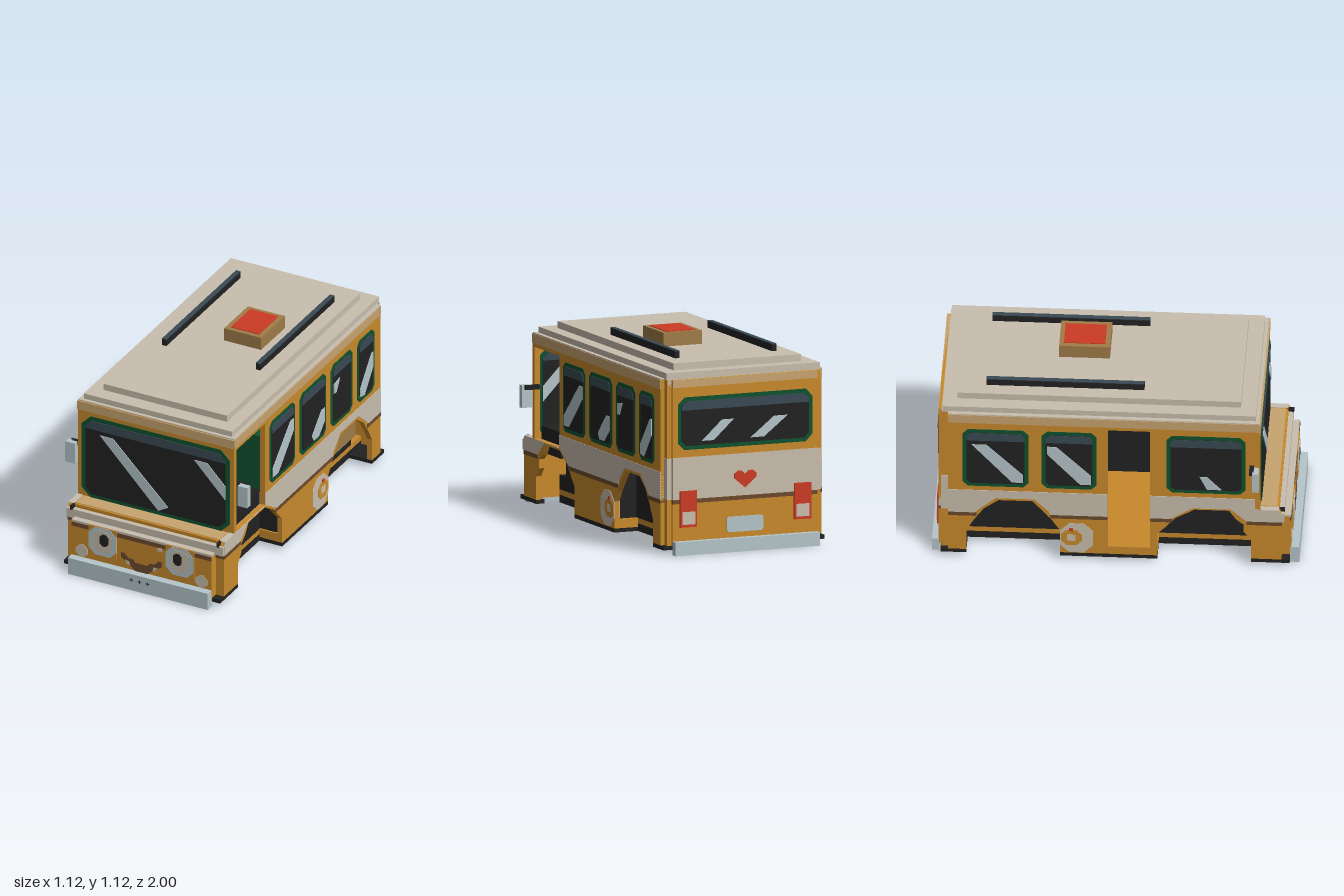
import * as THREE from 'three';

const paint = (name, color) => Object.assign(new THREE.MeshStandardMaterial({ color }), { name });
const M = {
  orange: paint('orange', 0xc98a2b), beige: paint('beige', 0xc9bfae), tan: paint('tan', 0xc9a570),
  brown: paint('brown', 0x6e4a2c), crate: paint('crate brown', 0xa07c48), green: paint('green', 0x10522f),
  black: paint('black', 0x222222), slate: paint('slate', 0x3a4a55), chrome: paint('pale blue', 0xb5c6cb),
  red: paint('red', 0xcc3b24),
};

// Box given by its limits on each axis
function box(parent, name, mat, [x0, x1], [y0, y1], [z0, z1]) {
  const m = new THREE.Mesh(new THREE.BoxGeometry(x1 - x0, y1 - y0, z1 - z0), mat);
  m.position.set((x0 + x1) / 2, (y0 + y1) / 2, (z0 + z1) / 2);
  m.name = name;
  parent.add(m);
  return m;
}

// Flat slab of half thickness h, centred on the group's own plane
function slab(parent, name, mat, pts, h, holes = []) {
  const toV = (p) => p.map(([u, v]) => new THREE.Vector2(u, v));
  const shape = new THREE.Shape(toV(pts));
  shape.holes = holes.map((p) => new THREE.Path(toV(p)));
  const geo = new THREE.ExtrudeGeometry(shape, { depth: 2 * h, bevelEnabled: false });
  geo.translate(0, 0, -h);
  const m = new THREE.Mesh(geo, mat);
  m.name = name;
  parent.add(m);
}
const rect = (u0, u1, v0, v1) => [[u0, v0], [u1, v0], [u1, v1], [u0, v1]];
const oct = (u0, u1, v0, v1, c) => [[u0 + c, v0], [u1 - c, v0], [u1, v0 + c], [u1, v1 - c],
  [u1 - c, v1], [u0 + c, v1], [u0, v1 - c], [u0, v0 + c]];

// Framed window that shows on both faces of a wall of half thickness h
function windowIn(parent, u0, u1, v0, v1, h, glares, c = 0.03, f = 0.022) {
  slab(parent, 'windowFrame', M.green, oct(u0, u1, v0, v1, c), h + 0.003);
  slab(parent, 'windowPane', M.black, oct(u0 + f, u1 - f, v0 + f, v1 - f, c * 0.7), h + 0.006);
  slab(parent, 'windowTint', M.slate, [[u0 + f, v1 - f - 0.05], [u1 - f, v1 - f - 0.05], [u1 - f, v1 - f - c * 0.7],
    [u1 - f - c * 0.7, v1 - f], [u0 + f + c * 0.7, v1 - f], [u0 + f, v1 - f - c * 0.7]], h + 0.008);
  glares.forEach((g) => slab(parent, 'windowGlare', M.chrome, g, h + 0.01));
}

const ARCHES = [[-0.81, 0.05], [-0.81, 0.18], [-0.77, 0.25], [-0.715, 0.33], [-0.635, 0.39], [-0.45, 0.39], [-0.38, 0.31],
  [-0.34, 0.26], [-0.3, 0.2], [-0.3, 0.05], [0.23, 0.05], [0.23, 0.2], [0.27, 0.24], [0.33, 0.31], [0.4, 0.35],
  [0.43, 0.37], [0.62, 0.37], [0.66, 0.31], [0.7, 0.28], [0.7, 0.23], [0.74, 0.18], [0.74, 0.05]];

// One side wall: group plane runs along z, s is +1 for left, -1 for right
function sideWall(bus, s) {
  const g = new THREE.Group(), h = 0.015, left = s > 0;
  g.name = left ? 'leftWall' : 'rightWall';
  g.rotation.y = -Math.PI / 2;
  g.position.x = s * 0.465;
  bus.add(g);
  const door = left ? rect(0.43, 0.76, 0.385, 0.89) : rect(-0.04, 0.19, 0.1, 0.89);
  slab(g, 'wall', M.orange, [[-0.91, 0.05], ...ARCHES, [0.905, 0.05], [0.905, 0.36], [0.893, 0.38], [0.79, 0.38],
    [0.79, 0.962], [-0.91, 0.962]], h, [door]);
  slab(g, 'upperTrim', M.tan, rect(-0.91, 0.79, 0.91, 0.962), h + 0.003);
  // Waist band with an orange rim left around the arches
  const [zr, zf] = left ? [0.1, 0.1] : [-0.04, 0.19];
  const front = left ? [[0.43, 0.384], [0.43, 0.455]] : [[0.76, 0.384], [0.76, 0.455]];
  slab(g, 'waistBand', M.beige, [[-0.91, 0.303], [-0.765, 0.303], [-0.72, 0.345], [-0.65, 0.405], [-0.44, 0.405],
    [-0.36, 0.325], [-0.355, 0.303], [zr, 0.303], [zr, 0.455], [-0.91, 0.455]], h + 0.003);
  slab(g, 'waistBand', M.beige, [[zf, 0.303], [0.3, 0.303], [0.35, 0.335], [0.42, 0.38], [0.63, 0.38], [0.68, 0.335],
    [0.715, 0.303], [0.905, 0.303], [0.905, 0.36], [0.89, 0.384], ...front, [zf, 0.455]], h + 0.003);
  for (const [a, b] of [[-0.91, -0.755], [-0.355, zr], [zf, 0.31], [0.715, 0.905]])
    slab(g, 'stripe', M.brown, rect(a, b, 0.28, 0.303), h + 0.003);
  // Windows
  if (left) {
    windowIn(g, 0.085, 0.38, 0.485, 0.868, h, [[[0.355, 0.52], [0.355, 0.575], [0.15, 0.77], [0.11, 0.77], [0.11, 0.7], [0.29, 0.52]]]);
    windowIn(g, -0.275, 0.03, 0.485, 0.868, h, [[[-0.12, 0.515], [-0.1, 0.55], [-0.21, 0.66], [-0.25, 0.66], [-0.25, 0.58], [-0.18, 0.515]]]);
    windowIn(g, -0.58, -0.33, 0.485, 0.868, h, [[[-0.355, 0.69], [-0.385, 0.69], [-0.425, 0.76], [-0.355, 0.75]]]);
    windowIn(g, -0.835, -0.635, 0.485, 0.868, h, [[[-0.66, 0.52], [-0.66, 0.57], [-0.79, 0.73], [-0.81, 0.73], [-0.81, 0.64], [-0.71, 0.51]]]);
  } else {
    windowIn(g, 0.28, 0.71, 0.485, 0.868, h, [[[0.5, 0.515], [0.58, 0.515], [0.5, 0.6], [0.46, 0.6]]]);
    windowIn(g, -0.4, -0.1, 0.485, 0.868, h, [[[-0.13, 0.52], [-0.13, 0.58], [-0.32, 0.77], [-0.37, 0.77], [-0.37, 0.72], [-0.19, 0.52]]]);
    windowIn(g, -0.83, -0.47, 0.485, 0.868, h, [[[-0.5, 0.52], [-0.5, 0.57], [-0.7, 0.77], [-0.78, 0.77], [-0.56, 0.52]]]);
  }
  // Flower badge beside the rear arch
  slab(g, 'flowerBadge', M.beige, oct(-0.3, -0.12, 0.055, 0.25, 0.05), h + 0.003);
  slab(g, 'flower', M.orange, oct(-0.295, -0.18, 0.105, 0.205, 0.03), h + 0.005);
  slab(g, 'flowerCentre', M.beige, rect(-0.26, -0.215, 0.135, 0.175), h + 0.007);
  slab(g, 'flowerBud', M.red, rect(-0.25, -0.228, 0.2, 0.22), h + 0.007);
  // Sills between the arches
  for (const [a, b, inner] of [[0.74, 0.95, 0.43], [-0.3, 0.23, 0.34], [-0.95, -0.81, 0.34]])
    box(bus, 'sill', M.black, s > 0 ? [inner, 0.48] : [-0.48, -inner], [0.028, 0.05], [a, b]);
  // Mirror
  const mx = (a, b) => (s > 0 ? [a, b] : [-b, -a]);
  box(bus, 'mirrorArm', M.black, mx(0.46, 0.545), [0.66, 0.685], [0.732, 0.757]);
  box(bus, 'mirror', M.chrome, mx(0.5, 0.56), [0.56, 0.685], [0.75, 0.785]);
  // Roof rail with a slate top
  box(bus, 'roofRail', M.black, mx(0.275, 0.302), [1.035, 1.075], [-0.71, 0.15]);
  box(bus, 'roofRailTop', M.slate, mx(0.275, 0.302), [1.075, 1.079], [-0.71, 0.15]);
  // Headlight, blinker, tail light, rear corner
  const lamp = new THREE.Group();
  lamp.name = 'headlight';
  lamp.position.z = 0.955;
  bus.add(lamp);
  const flip = (p) => p.map(([u, v]) => [s * u, v]);
  slab(lamp, 'lampBase', M.orange, flip(rect(0.15, 0.325, 0.14, 0.315)), 0.006);
  slab(lamp, 'lampRim', M.chrome, flip(oct(0.152, 0.323, 0.142, 0.313, 0.04)), 0.008);
  slab(lamp, 'lampGlass', M.beige, flip(oct(0.178, 0.297, 0.165, 0.295, 0.03)), 0.01);
  slab(lamp, 'lampPupil', M.black, flip(oct(0.2, 0.252, 0.205, 0.278, 0.016)), 0.012);
  slab(lamp, 'blinker', M.beige, flip(oct(0.33, 0.405, 0.1, 0.178, 0.026)), 0.003);
  box(bus, 'hoodLatch', M.black, mx(0.443, 0.457), [0.356, 0.381], [0.88, 0.923]);
  box(bus, 'tailLight', M.red, mx(0.29, 0.39), [0.15, 0.35], [-0.974, -0.96]);
  box(bus, 'tailLightLens', M.beige, mx(0.302, 0.378), [0.165, 0.235], [-0.977, -0.96]);
  box(bus, 'rearPost', M.orange, mx(0.4, 0.455), [0.03, 0.962], [-0.945, -0.905]);
  box(bus, 'rearPostBand', M.beige, mx(0.4, 0.458), [0.303, 0.53], [-0.948, -0.904]);
}

function nose(bus) {
  box(bus, 'frontWall', M.orange, [-0.48, 0.48], [0.36, 0.962], [0.77, 0.79]);
  box(bus, 'frontTrim', M.tan, [-0.482, 0.482], [0.91, 0.962], [0.768, 0.793]);
  const shield = new THREE.Group();
  shield.name = 'windshield';
  shield.position.z = 0.78;
  bus.add(shield);
  windowIn(shield, -0.455, 0.455, 0.38, 0.885, 0.01, [
    [[-0.34, 0.785], [-0.26, 0.785], [0.08, 0.445], [0.02, 0.41], [0, 0.43]],
    [[0.24, 0.785], [0.32, 0.785], [0.43, 0.67], [0.43, 0.585]]], 0.055, 0.025);
  box(bus, 'hood', M.orange, [-0.479, 0.479], [0.36, 0.38], [0.76, 0.893]);
  box(bus, 'hoodTop', M.tan, [-0.44, 0.44], [0.38, 0.383], [0.79, 0.88]);
  box(bus, 'hoodBand', M.beige, [-0.481, 0.481], [0.305, 0.36], [0.89, 0.92]);
  box(bus, 'noseWall', M.orange, [-0.479, 0.479], [0.05, 0.305], [0.89, 0.905]);
  box(bus, 'nosePanel', M.orange, [-0.43, 0.43], [0.03, 0.305], [0.905, 0.955]);
  box(bus, 'noseTop', M.beige, [-0.43, 0.43], [0.305, 0.318], [0.905, 0.955]);
  box(bus, 'noseStripe', M.brown, [-0.43, 0.43], [0.28, 0.305], [0.95, 0.957]);
  box(bus, 'noseStripe', M.brown, [-0.481, 0.481], [0.28, 0.305], [0.9, 0.907]);
  const face = new THREE.Group();
  face.name = 'grilleSmile';
  face.position.z = 0.955;
  bus.add(face);
  const half = [[0.125, 0.195], [0.105, 0.195], [0.08, 0.17], [0.05, 0.168], [0.038, 0.15]];
  const low = [[0.04, 0.1], [0.06, 0.12], [0.125, 0.165]];
  const mir = (p) => p.map(([x, y]) => [-x, y]).reverse();
  slab(face, 'smile', M.brown, [...half, ...mir(half), ...mir(low), ...low].map(([x, y]) => [x, y]), 0.004);
  slab(face, 'freckle', M.beige, rect(0.1, 0.125, 0.258, 0.278), 0.003);
  for (const s of [-1, 1]) slab(face, 'dimple', M.beige, [[s * 0.1, 0.155], [s * 0.075, 0.15], [s * 0.07, 0.13], [s * 0.085, 0.13]], 0.006);
  box(bus, 'frontBumper', M.chrome, [-0.43, 0.43], [0, 0.1], [0.95, 1]);
  for (const x of [-0.04, 0.01, 0.06]) {
    box(bus, 'bumperBolt', M.slate, [x - 0.011, x + 0.011], [0.061, 0.067], [0.99, 1.001]);
    box(bus, 'bumperBolt', M.slate, [x - 0.003, x + 0.003], [0.053, 0.075], [0.99, 1.001]);
  }
}

function rear(bus) {
  const g = new THREE.Group();
  g.name = 'rearWall';
  g.position.z = -0.955;
  bus.add(g);
  slab(g, 'rearPanel', M.orange, rect(-0.43, 0.43, 0.05, 0.962), 0.008);
  slab(g, 'rearTrim', M.tan, rect(-0.43, 0.43, 0.92, 0.962), 0.01);
  slab(g, 'rearBand', M.beige, rect(-0.43, 0.43, 0.303, 0.535), 0.01);
  slab(g, 'rearStripe', M.brown, rect(-0.43, 0.43, 0.28, 0.303), 0.01);
  windowIn(g, -0.4, 0.4, 0.575, 0.865, 0.008, [
    [[0.26, 0.62], [0.19, 0.62], [0.07, 0.73], [0.14, 0.73]], [[-0.03, 0.62], [-0.11, 0.62], [-0.25, 0.73], [-0.17, 0.73]]], 0.04);
  slab(g, 'heart', M.red, [[0, 0.345], [0.065, 0.4], [0.065, 0.425], [0.045, 0.44], [0.02, 0.44], [0, 0.42],
    [-0.02, 0.44], [-0.045, 0.44], [-0.065, 0.425], [-0.065, 0.4]], 0.013);
  slab(g, 'plate', M.chrome, oct(-0.11, 0.11, 0.105, 0.19, 0.012), 0.012);
  box(bus, 'rearBumper', M.chrome, [-0.43, 0.43], [0, 0.075], [-1, -0.96]);
}

function roof(bus) {
  box(bus, 'ceiling', M.beige, [-0.45, 0.45], [0.93, 0.962], [-0.945, 0.77]);
  box(bus, 'roofLid', M.beige, [-0.48, 0.48], [0.962, 0.968], [-0.91, 0.785]);
  box(bus, 'roofLower', M.beige, [-0.456, 0.456], [0.962, 1], [-0.94, 0.765]);
  box(bus, 'roofUpper', M.beige, [-0.38, 0.38], [1, 1.038], [-0.862, 0.68]);
  box(bus, 'hatch', M.crate, [-0.028, 0.2], [1.03, 1.113], [-0.33, -0.053]);
  box(bus, 'hatchTop', M.red, [0, 0.172], [1.11, 1.117], [-0.305, -0.08]);
}

function interior(bus) {
  box(bus, 'underside', M.black, [-0.34, 0.34], [0.028, 0.07], [-0.945, 0.74]);
  box(bus, 'floor', M.orange, [-0.34, 0.34], [0.07, 0.1], [-0.945, 0.74]);
  for (const s of [-1, 1]) box(bus, 'stepFloor', M.orange, s > 0 ? [0.34, 0.45] : [-0.45, -0.34], [0.05, 0.1], [-0.3, 0.23]);
  box(bus, 'firewallBase', M.black, [-0.34, 0.34], [0.1, 0.18], [0.66, 0.74]);
  box(bus, 'frontWheelHousing', M.black, [-0.34, 0.34], [0.1, 0.385], [0.23, 0.66]);
  box(bus, 'dashboard', M.black, [-0.44, 0.44], [0.31, 0.455], [0.5, 0.76]);
  box(bus, 'cabShelf', M.black, [-0.44, 0.44], [0.375, 0.455], [0.4, 0.5]);
  box(bus, 'rearWheelHousing', M.black, [-0.34, 0.34], [0.1, 0.4], [-0.83, -0.28]);
  box(bus, 'sideBench', M.black, [0.2, 0.44], [0.1, 0.45], [-0.28, 0.22]);
  box(bus, 'storageCrate', M.crate, [0.2, 0.38], [0.18, 0.33], [-0.81, -0.555]);
  box(bus, 'rearSeat', M.green, [-0.44, 0.44], [0.4, 0.47], [-0.8, -0.3]);
  box(bus, 'driverSeatBack', M.green, [0.08, 0.42], [0.4, 0.76], [0.28, 0.36]);
  box(bus, 'steeringColumn', M.black, [0.19, 0.21], [0.45, 0.51], [0.638, 0.66]);
  const wheel = new THREE.Mesh(new THREE.CylinderGeometry(0.075, 0.075, 0.014, 8), M.black);
  wheel.name = 'steeringWheel';
  wheel.position.set(0.2, 0.512, 0.64);
  bus.add(wheel);
}

export function createModel() {
  const bus = new THREE.Group();
  bus.name = 'camperBus';
  for (const s of [1, -1]) sideWall(bus, s);
  nose(bus);
  rear(bus);
  roof(bus);
  interior(bus);
  return bus;
}
